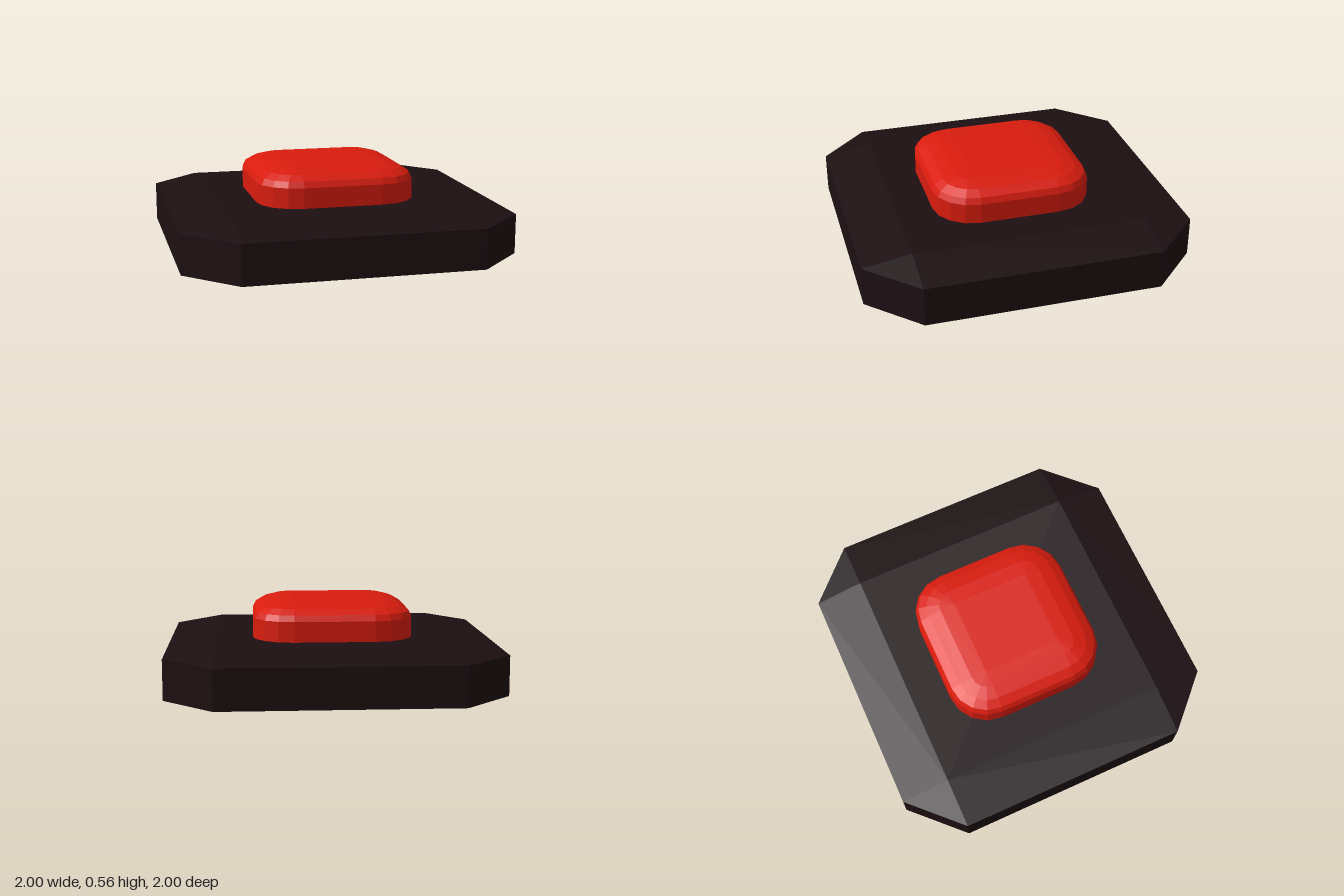
import * as THREE from 'three';
import { ConvexGeometry } from 'three/addons/geometries/ConvexGeometry.js';

// Bevelled box: an octant of an ellipsoid pushed out to each of the eight corners.
// half: half sizes, bevel: bevel radius along each axis, steps: bevel segments.
function bevelledBox(half, bevel, steps) {
  const points = [];
  const core = half.clone().sub(bevel);
  for (const sx of [-1, 1]) for (const sy of [-1, 1]) for (const sz of [-1, 1]) {
    for (let i = 0; i <= steps; i++) {
      const up = (i / steps) * Math.PI / 2;
      const around = i === steps ? 0 : steps; // a single point at the pole
      for (let j = 0; j <= around; j++) {
        const turn = (j / steps) * Math.PI / 2;
        const dir = new THREE.Vector3(
          Math.cos(up) * Math.cos(turn), Math.sin(up), Math.cos(up) * Math.sin(turn));
        points.push(dir.multiply(bevel).add(core).multiply(new THREE.Vector3(sx, sy, sz)));
      }
    }
  }
  return new ConvexGeometry(points);
}

function addPart(group, name, geometry, color, y) {
  const material = new THREE.MeshStandardMaterial({ color, flatShading: true });
  const mesh = new THREE.Mesh(geometry, material);
  mesh.name = name;
  mesh.position.y = y;
  group.add(mesh);
}

export function createModel() {
  const group = new THREE.Group();
  group.name = 'pushButton';

  // Dark plate with single chamfers
  const plate = bevelledBox(
    new THREE.Vector3(1, 0.17, 1), new THREE.Vector3(0.295, 0.05, 0.295), 1);
  addPart(group, 'basePlate', plate, 0x1c0f12, 0.17);

  // Red cap, its lower half sunk into the plate
  const cap = bevelledBox(
    new THREE.Vector3(0.485, 0.188, 0.485), new THREE.Vector3(0.245, 0.094, 0.245), 4);
  addPart(group, 'buttonCap', cap, 0xd91c0e, 0.369);

  return group;
}
